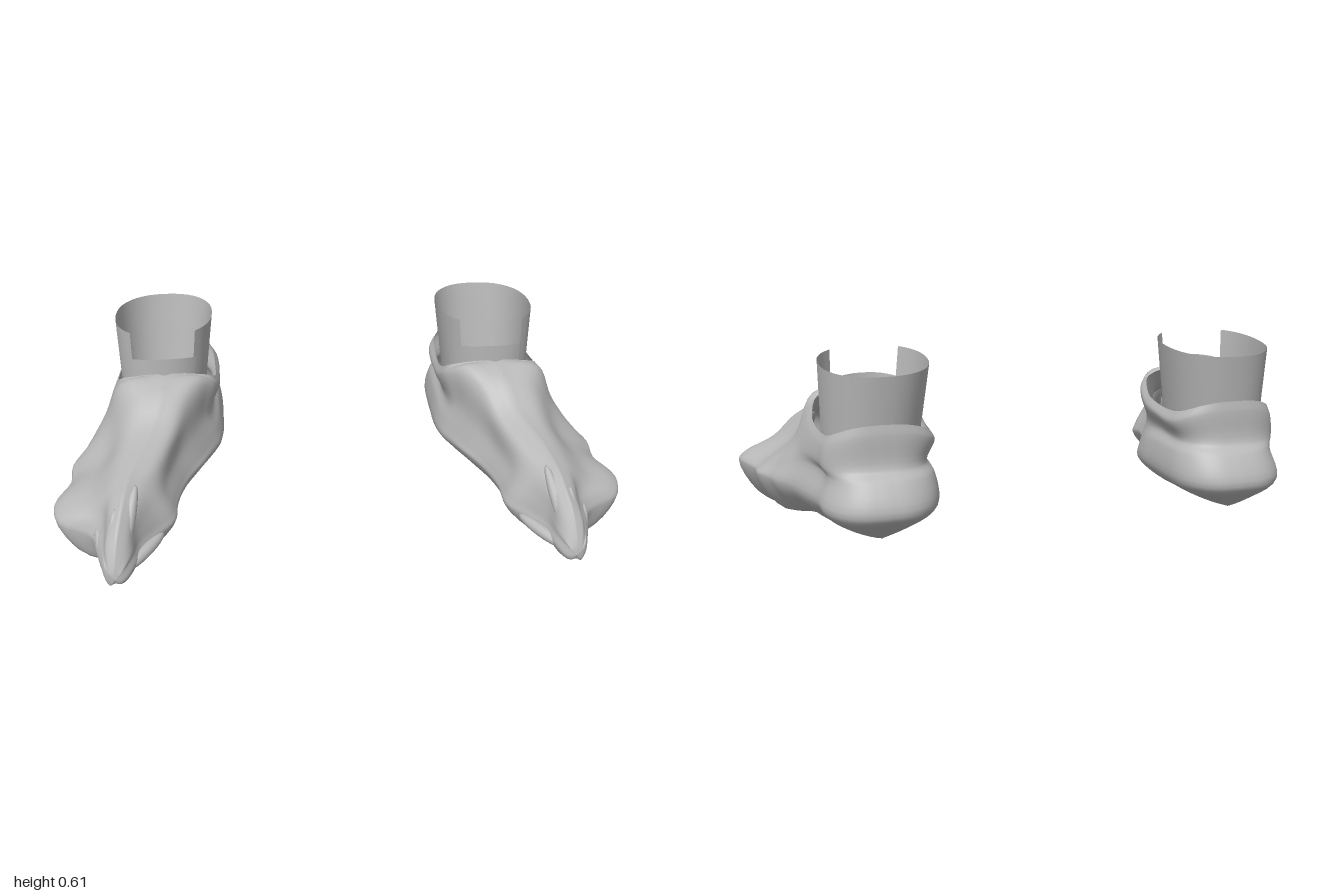
import * as THREE from 'three';

const V = (x, y, z) => new THREE.Vector3(x, y, z);
const lerp = THREE.MathUtils.lerp;

// Smooth surface through a list of equally long point columns
function skin(columns) {
  const n = columns[0].length, pos = [], index = [];
  columns.forEach(c => c.forEach(p => pos.push(p.x, p.y, p.z)));
  for (let i = 0; i < columns.length - 1; i++) {
    for (let j = 0; j < n - 1; j++) {
      const a = i * n + j, b = a + n;
      index.push(a, a + 1, b, b, a + 1, b + 1);
    }
  }
  const g = new THREE.BufferGeometry();
  g.setAttribute('position', new THREE.Float32BufferAttribute(pos, 3));
  g.setIndex(index);
  g.computeVertexNormals();
  return g;
}

// Mirror a geometry across x = 0, keeping its faces outward
function mirrored(geometry) {
  const g = geometry.clone().scale(-1, 1, 1);
  const ix = g.index.array;
  for (let i = 0; i < ix.length; i += 3) [ix[i], ix[i + 1]] = [ix[i + 1], ix[i]];
  return g;
}

// z, inner x, outer x, bottom y, welt y, inner rim x, outer rim x, rim y,
// inner shoulder x, outer shoulder x, shoulder y
const STATIONS = [
  [-0.38, 0.41, 0.80, 0.045, 0.25, 0.43, 0.77, 0.385, 0.412, 0.785, 0.35],
  [-0.28, 0.408, 0.83, 0.03, 0.25, 0.425, 0.78, 0.385, 0.41, 0.795, 0.355],
  [-0.18, 0.408, 0.865, 0.035, 0.235, 0.425, 0.78, 0.405, 0.41, 0.80, 0.37],
  [-0.105, 0.42, 0.905, 0.04, 0.21, 0.455, 0.75, 0.452, 0.425, 0.785, 0.415],
  [-0.06, 0.44, 0.92, 0.035, 0.20, 0.605, 0.605, 0.478, 0.47, 0.76, 0.455],
  [0.02, 0.48, 0.955, 0.025, 0.18, 0.62, 0.62, 0.45, 0.53, 0.73, 0.42],
  [0.12, 0.535, 0.955, 0.015, 0.17, 0.65, 0.65, 0.375, 0.575, 0.74, 0.35],
  [0.26, 0.57, 1.0, 0.01, 0.17, 0.71, 0.71, 0.33, 0.63, 0.77, 0.305],
  [0.35, 0.58, 0.975, 0.01, 0.155, 0.73, 0.73, 0.31, 0.67, 0.79, 0.28],
  [0.41, 0.64, 0.865, 0.02, 0.14, 0.74, 0.74, 0.295, 0.69, 0.79, 0.26],
  [0.47, 0.69, 0.845, 0.04, 0.13, 0.75, 0.75, 0.265, 0.715, 0.79, 0.23],
  [0.54, 0.71, 0.825, 0.04, 0.12, 0.765, 0.765, 0.205, 0.735, 0.80, 0.175],
  [0.59, 0.745, 0.805, 0.05, 0.10, 0.775, 0.775, 0.12, 0.76, 0.79, 0.11],
];

// Cross-section from the inner rim, under the sole, to the outer rim
function section([z, xi, xo, yb, yw, ti, to, yt, si, so, ys]) {
  const w = xo - xi, ye = Math.min(0.15, yw - 0.03), f = Math.min(1, w / 0.4);
  const keel = 1 - THREE.MathUtils.smoothstep(z, -0.25, 0);
  return [
    V(ti, yt, z), V(si, ys, z),
    V(Math.min(xi + 0.035 * f, lerp(xi, si, 0.5) + 0.03 * f), lerp(yw, ys, 0.4), z),
    V(xi + 0.008, yw, z), V(xi, ye, z),
    V(xi + 0.2 * w, yb + (0.03 + 0.025 * keel) * f, z), V(xi + 0.55 * w, yb + 0.008, z),
    V(xo - 0.2 * w, yb + 0.035 * keel, z),
    V(xo, ye + 0.01, z), V(xo - 0.025 * f, yw + 0.01, z),
    V(lerp(xo, so, 0.6), lerp(yw, ys, 0.45), z), V(so, ys, z), V(to, yt, z),
  ];
}

function shoeGeometry() {
  const rows = STATIONS.map(section);

  // Heel: sweep the rearmost section round to the back seam, where both sides meet
  const half = [-0.515, -0.52, -0.525, -0.56, -0.60, -0.53];
  const backZ = [...half, -0.48, ...half.slice().reverse()];
  const base = rows[0];
  for (const deg of [20, 40, 58, 75, 90]) {
    const a = THREE.MathUtils.degToRad(deg);
    const c = deg === 90 ? 0 : Math.cos(a) ** 0.75, s = Math.sin(a) ** 0.85;
    rows.unshift(base.map((p, j) => {
      const rise = j < 2 || j > 10 ? 0.05 * s * s : 0;
      const y = lerp(p.y, (p.y + base[12 - j].y) / 2, s);
      return V(lerp(0.605, p.x, c), y + rise, lerp(p.z, backZ[j], s));
    }));
  }
  rows.push(base.map(() => V(0.775, 0.08, 0.60)));

  // Smooth round each section, then lengthwise
  const rounded = rows.map((r, i) => i === rows.length - 1
    ? Array.from({ length: 61 }, () => r[0].clone())
    : new THREE.CatmullRomCurve3(r).getPoints(60));
  // The back seam closes exactly, point against point
  const seam = rounded[0];
  for (let j = 0; j < 30; j++) seam[60 - j].copy(seam[j]);
  const lines = seam.map((_, j) =>
    new THREE.CatmullRomCurve3(rounded.map(r => r[j])).getPoints((rows.length - 1) * 4));
  const columns = lines[0].map((_, i) => lines.map(l => l[i]));
  const g = skin(columns);

  // Share normals across the back seam and the instep ridge
  const normal = g.attributes.normal;
  const share = (i, k) => {
    const n = V(0, 0, 0).fromBufferAttribute(normal, i)
      .add(V(0, 0, 0).fromBufferAttribute(normal, k)).normalize();
    normal.setXYZ(i, n.x, n.y, n.z);
    normal.setXYZ(k, n.x, n.y, n.z);
  };
  for (let j = 0; j < 30; j++) share(j, 60 - j);
  columns.forEach((c, i) => {
    if (i > 0 && c[0].distanceTo(c[60]) < 0.001) share(i * 61, i * 61 + 60);
  });
  return g;
}

// Ankle cuff arc between two angles, front at 90 degrees
function cuffGeometry(from, to, topY) {
  const columns = [];
  for (let i = 0; i <= 32; i++) {
    const a = THREE.MathUtils.degToRad(lerp(from, to, i / 32));
    const c = Math.sign(Math.cos(a)) * Math.abs(Math.cos(a)) ** 0.88;
    const s = Math.sign(Math.sin(a)) * Math.abs(Math.sin(a)) ** 0.88;
    const z = -0.31 + 0.21 * s;
    const top = V(0.593 + 0.178 * c, topY(z), z);
    const bottom = V(0.608 + 0.155 * c, 0.31, -0.29 + 0.185 * s);
    columns.push([0, 0.33, 0.67, 1].map(t => top.clone().lerp(bottom, t)));
  }
  return skin(columns.reverse());
}

// Gathered crease: a slim lump stretched between two points
function foldGeometry(a, b, r) {
  const g = new THREE.SphereGeometry(1, 12, 10);
  g.scale(r, a.distanceTo(b) / 2, r);
  const q = new THREE.Quaternion().setFromUnitVectors(V(0, 1, 0), b.clone().sub(a).normalize());
  return g.applyQuaternion(q).translate((a.x + b.x) / 2, (a.y + b.y) / 2, (a.z + b.z) / 2);
}

export function createModel() {
  const grey = new THREE.MeshStandardMaterial({ color: 0xb8b8b8, side: THREE.DoubleSide });
  grey.name = 'grey leather';

  const parts = [
    ['shoeBody', shoeGeometry()],
    ['cuffBack', cuffGeometry(128, 412, z => 0.588 + (z + 0.52) * 0.07)],
    ['cuffFront', cuffGeometry(52, 128, z => 0.505 + (z + 0.15) * 0.35)],
    ['toeFold1', foldGeometry(V(0.70, 0.305, 0.38), V(0.76, 0.10, 0.57), 0.022)],
    ['toeFold2', foldGeometry(V(0.77, 0.26, 0.45), V(0.79, 0.07, 0.59), 0.02)],
    ['toeFold3', foldGeometry(V(0.62, 0.11, 0.39), V(0.74, 0.08, 0.55), 0.022)],
    ['toeFold4', foldGeometry(V(0.84, 0.16, 0.41), V(0.79, 0.05, 0.58), 0.022)],
  ];

  const model = new THREE.Group();
  model.name = 'pairOfShoes';
  for (const side of ['left', 'right']) {
    const shoe = new THREE.Group();
    shoe.name = side + 'Shoe';
    for (const [name, geometry] of parts) {
      const mesh = new THREE.Mesh(side === 'left' ? geometry : mirrored(geometry), grey);
      mesh.name = name;
      // The right cuff sits slightly further out
      if (side === 'right' && name.startsWith('cuff')) mesh.position.x = -0.012;
      shoe.add(mesh);
    }
    model.add(shoe);
  }
  return model;
}
